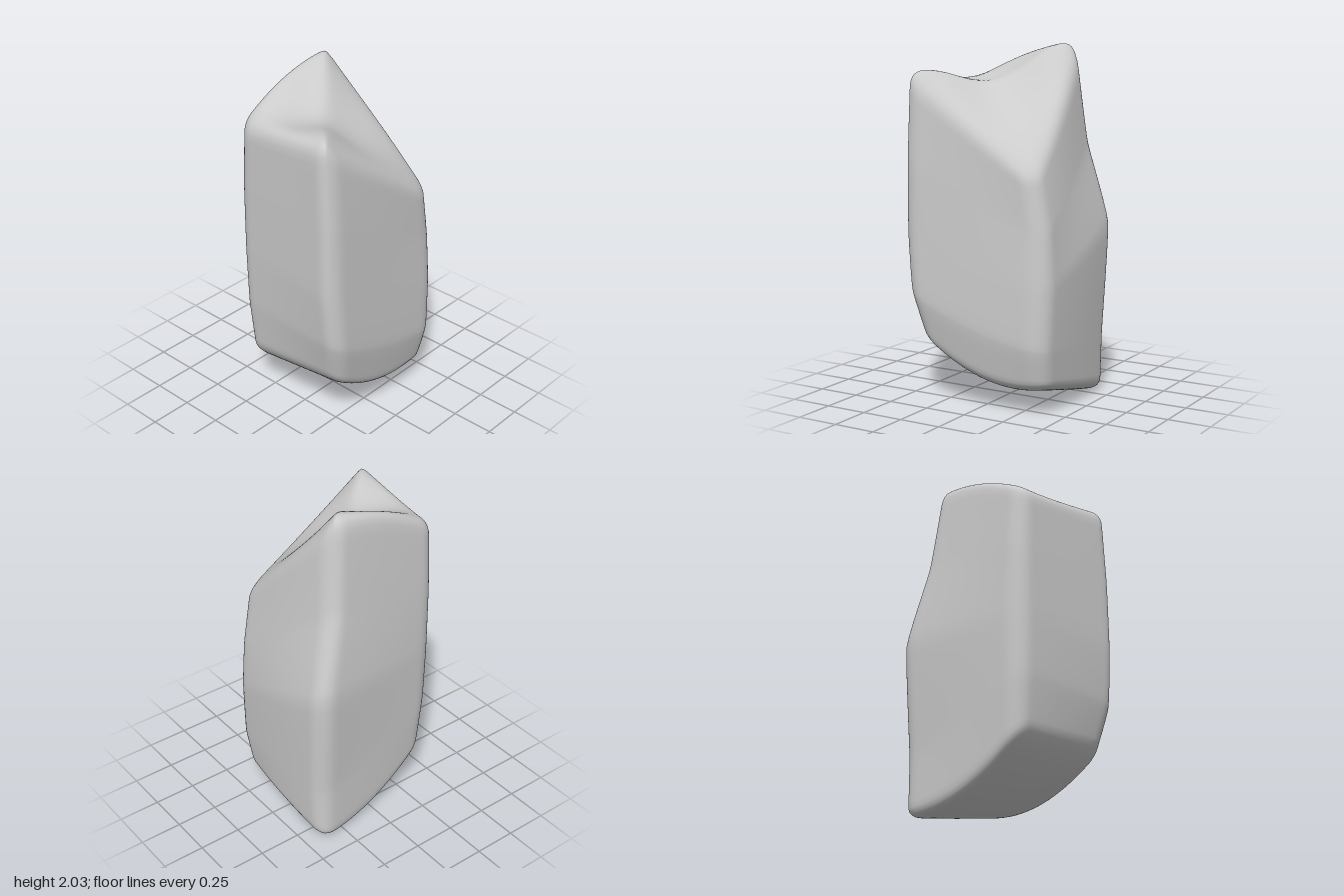
import * as THREE from 'three';
import { mergeVertices } from 'three/addons/utils/BufferGeometryUtils.js';

const N = 32;              // grid cells per side
const R = 0.25, RV = 0.12; // edge rounding, sideways and upright

// The four upright edges of the boulder from bottom to top, with slightly softened bends
const edge = (...points) =>
  new THREE.CatmullRomCurve3(points.map((p) => new THREE.Vector3(...p)), false, 'catmullrom', 0.2);
const frontLow = edge([0.425, 0.17, 0.36], [0.445, 0.38, 0.41], [0.455, 0.7, 0.405], [0.445, 0.98, 0.39], [0.38, 1.3, 0.395]);
const frontHigh = edge([-0.37, 0.38, 0.375], [-0.44, 0.65, 0.425], [-0.47, 0.97, 0.42], [-0.47, 1.4, 0.41], [-0.465, 1.87, 0.38]);
const backPeak = edge([0.42, 0, -0.39], [0.43, 0.35, -0.39], [0.445, 1.02, -0.43], [0.33, 1.5, -0.365], [0.28, 2.03, -0.31]);
const backLow = edge([-0.385, 0.31, -0.31], [-0.41, 0.65, -0.33], [-0.415, 1.0, -0.335], [-0.415, 1.4, -0.33], [-0.41, 1.78, -0.31]);

// Cube point pulled in so that edges and corners become round
function roundCube(p) {
  const size = new THREE.Vector3(R, RV, R);
  const limit = new THREE.Vector3(1, 1, 1).sub(size);
  const inner = p.clone().clamp(limit.clone().negate(), limit);
  const d = p.clone().sub(inner).divide(size);
  return d.normalize().multiply(size).add(inner);
}

// Rounded cube point blended between the four edges
function shape({ x: s, y, z: t }) {
  const v = (y + 1) / 2;
  const inX = 1 - s * s, inZ = 1 - t * t;
  // fold along the diagonal from the high front corner to the peak, softer in the middle
  const q = (s + t) / 2;
  const fold = (q + Math.hypot(q, 0.1 * inX * inZ)) / 2;
  const out = new THREE.Vector3()
    .addScaledVector(frontLow.getPoint(v), fold)
    .addScaledVector(backLow.getPoint(v), fold - q)
    .addScaledVector(frontHigh.getPoint(v), (1 + t) / 2 - fold)
    .addScaledVector(backPeak.getPoint(v), (1 + s) / 2 - fold);
  // saddle in the middle of the top, raised lip along its back
  const top = v ** 4;
  out.y -= 0.1 * inX * inX * inZ * inZ * top;
  out.y += 0.08 * inX * Math.max(0, -t) ** 2 * top;
  // sagging underside, bulging right side
  out.y -= 0.11 * inX * (1 - v) ** 3;
  out.x += 0.02 * inZ * Math.max(0, s);
  return out;
}

export function createModel() {
  const box = new THREE.BoxGeometry(2, 2, 2, N, N, N);
  box.deleteAttribute('normal');
  box.deleteAttribute('uv');
  const geometry = mergeVertices(box);
  const pos = geometry.attributes.position;
  // crowd the grid towards the rounded edges
  const spread = (a) => Math.sin(a * Math.PI / 2) * 0.6 + a * 0.4;
  for (let i = 0; i < pos.count; i++) {
    const p = new THREE.Vector3(spread(pos.getX(i)), spread(pos.getY(i)), spread(pos.getZ(i)));
    pos.setXYZ(i, ...shape(roundCube(p)));
  }

  // stand on the ground, centred
  geometry.computeBoundingBox();
  const { min, max } = geometry.boundingBox;
  geometry.translate(-(min.x + max.x) / 2, -min.y, -(min.z + max.z) / 2);
  geometry.computeVertexNormals();

  const rock = new THREE.Mesh(geometry, new THREE.MeshStandardMaterial({ color: 0xcccccc }));
  rock.name = 'boulder';
  const group = new THREE.Group();
  group.name = 'standingRock';
  group.add(rock);
  return group;
}
